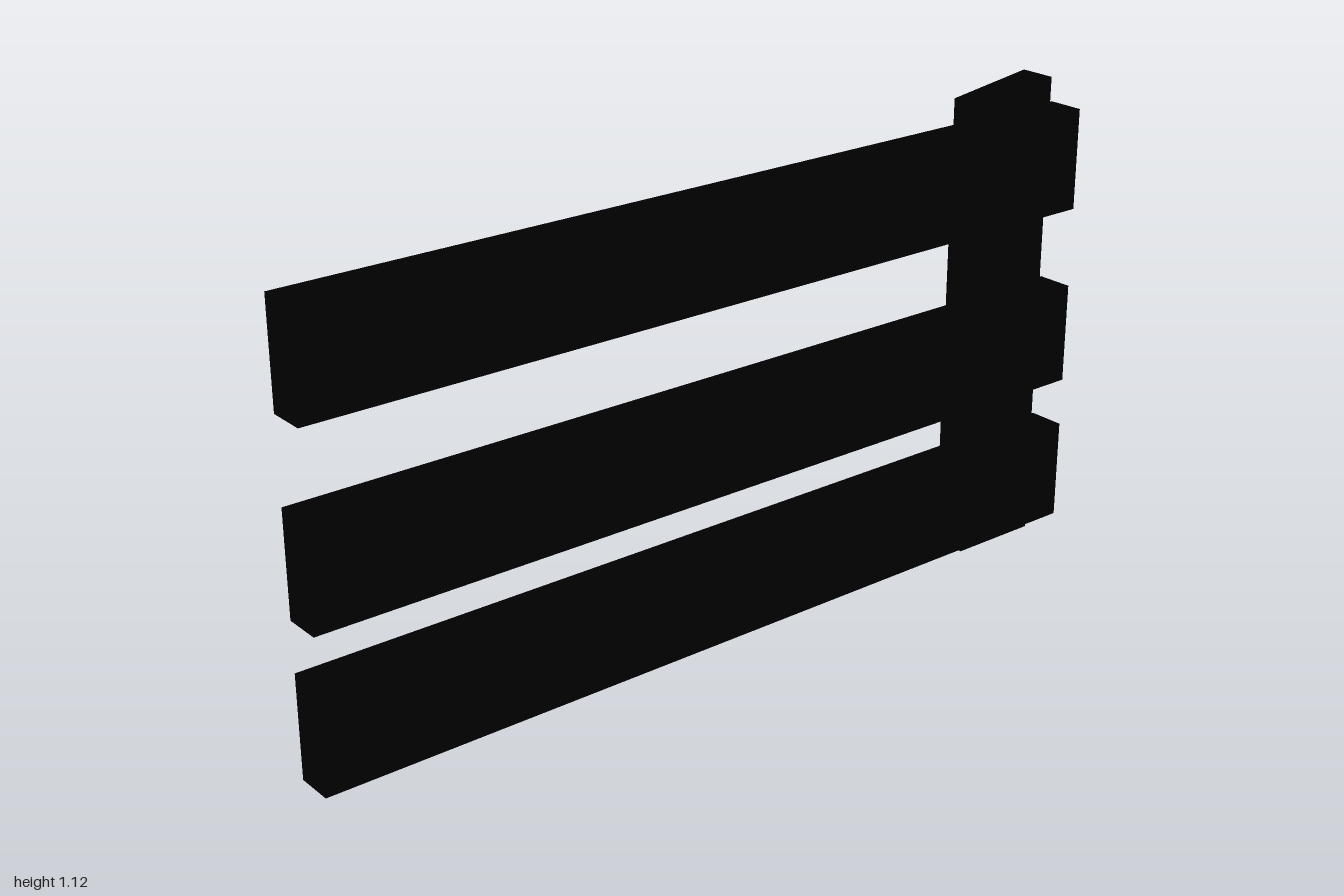
import * as THREE from 'three';

export function createModel() {
  const group = new THREE.Group();
  const material = new THREE.MeshStandardMaterial({ color: 0x000000 });
  const depth = 0.085;

  // Three horizontal rails in front of the post, listed by their lower edges
  const railHeight = 0.233;
  const railNames = ['lowerRail', 'middleRail', 'upperRail'];
  [0.065, 0.41, 0.828].forEach((bottom, i) => {
    const rail = new THREE.Mesh(new THREE.BoxGeometry(2, railHeight, depth), material);
    rail.position.set(0, bottom + railHeight / 2, depth / 2);
    rail.name = railNames[i];
    group.add(rail);
  });

  // Upright post with a slanted top, behind the rails at the left end
  const profile = new THREE.Shape([
    new THREE.Vector2(0.776, 0),
    new THREE.Vector2(0.995, 0),
    new THREE.Vector2(0.995, 1.118),
    new THREE.Vector2(0.776, 1.088),
  ]);
  const post = new THREE.Mesh(
    new THREE.ExtrudeGeometry(profile, { depth, bevelEnabled: false }),
    material
  );
  post.position.z = -depth;
  post.name = 'post';
  group.add(post);

  return group;
}
